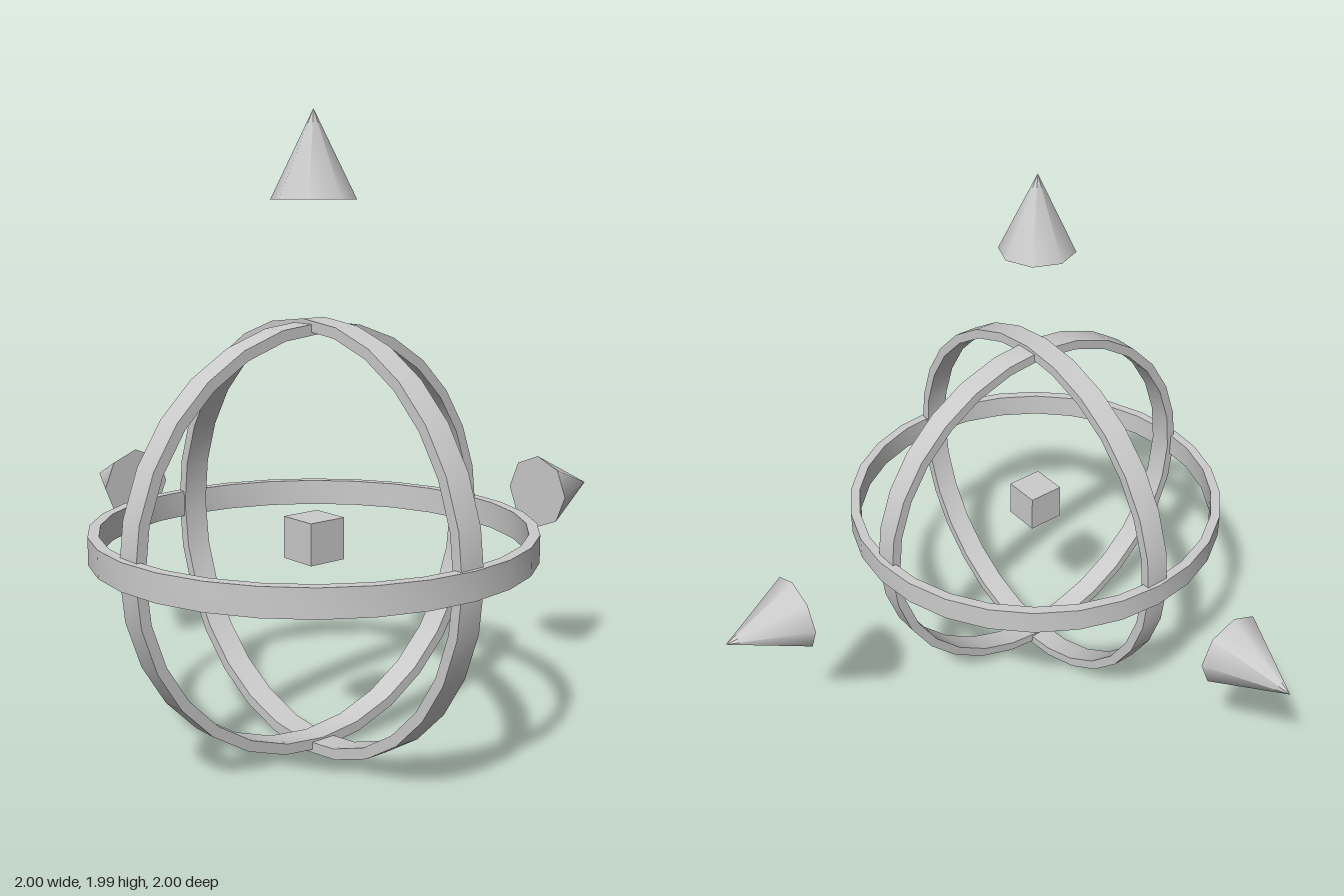
import * as THREE from 'three';
import { toCreasedNormals } from 'three/addons/utils/BufferGeometryUtils.js';

const material = new THREE.MeshStandardMaterial({ color: 0xcccccc });

function addPart(parent, name, geometry) {
  const mesh = new THREE.Mesh(geometry, material);
  mesh.name = name;
  parent.add(mesh);
  return mesh;
}

// Flat band of 28 sides around the z axis, smooth around, sharp at the rims
function bandGeometry(radius, thickness = 0.034, width = 0.086) {
  const shape = new THREE.Shape().absarc(0, 0, radius, 0, Math.PI * 2, false);
  shape.holes.push(new THREE.Path().absarc(0, 0, radius - thickness, 0, Math.PI * 2, true));
  const geometry = new THREE.ExtrudeGeometry(shape, { depth: width, bevelEnabled: false, curveSegments: 14 });
  geometry.translate(0, 0, -width / 2);
  return toCreasedNormals(geometry, 0.6);
}

export function createModel() {
  const model = new THREE.Group();
  model.name = 'transformGizmo';

  const gizmo = new THREE.Group();
  gizmo.name = 'handles';
  gizmo.position.set(0.305, 0.685, 0.305);
  model.add(gizmo);

  // Central cube
  addPart(gizmo, 'centreCube', new THREE.BoxGeometry(0.133, 0.133, 0.133));

  // Three nested rotation rings, each slightly larger than the last
  addPart(gizmo, 'sideRing', bandGeometry(0.675)).rotation.y = Math.PI / 2;
  addPart(gizmo, 'frontRing', bandGeometry(0.685));
  addPart(gizmo, 'horizontalRing', bandGeometry(0.695)).rotation.x = Math.PI / 2;

  // Cone arrowheads pointing up, to -x and to -z
  const height = 0.267;
  const cone = new THREE.ConeGeometry(0.131, height, 8);
  cone.translate(0, 1.305 - height / 2, 0);
  addPart(gizmo, 'upArrow', cone);
  addPart(gizmo, 'rightArrow', cone).rotation.z = Math.PI / 2;
  addPart(gizmo, 'backArrow', cone).rotation.x = -Math.PI / 2;

  return model;
}
